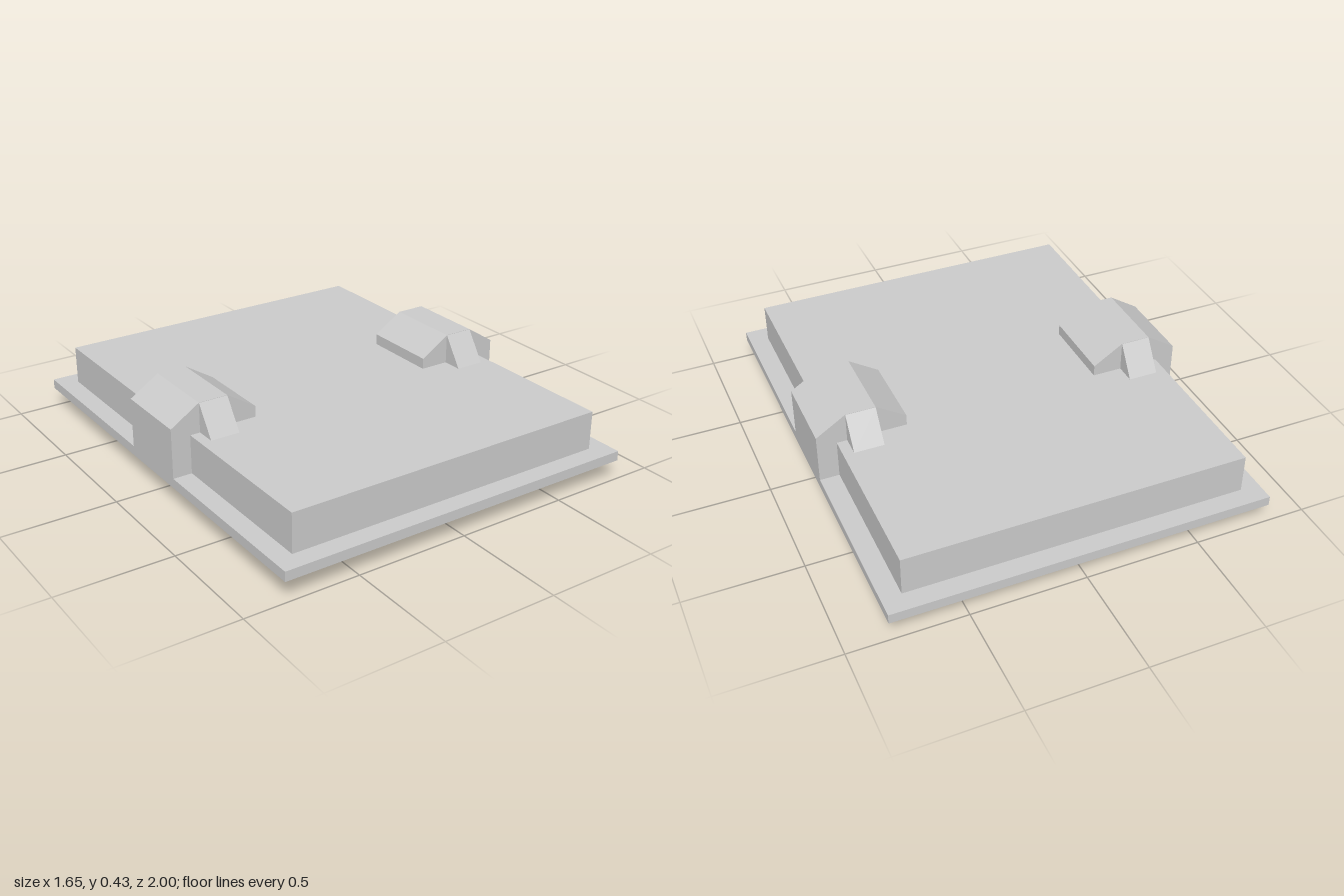
import * as THREE from 'three';

const material = new THREE.MeshStandardMaterial({ color: 0xcccccc, flatShading: true });

function named(geometry, name) {
  const mesh = new THREE.Mesh(geometry, material);
  mesh.name = name;
  return mesh;
}

// Flat-sided skin through rectangular rings [half width, half depth, height].
function ringSkin(rings) {
  const signs = [[-1, 1], [1, 1], [1, -1], [-1, -1]];
  const corner = ([w, d, y], k) => [w * signs[k % 4][0], y, d * signs[k % 4][1]];
  const positions = [];
  for (let i = 0; i < rings.length - 1; i++) {
    for (let k = 0; k < 4; k++) {
      const a = corner(rings[i], k), b = corner(rings[i], k + 1);
      const c = corner(rings[i + 1], k + 1), d = corner(rings[i + 1], k);
      if (rings[i][0] > 0) positions.push(...a, ...b, ...c);
      if (rings[i + 1][0] > 0) positions.push(...a, ...c, ...d);
    }
  }
  const geometry = new THREE.BufferGeometry();
  geometry.setAttribute('position', new THREE.Float32BufferAttribute(positions, 3));
  geometry.computeVertexNormals();
  return geometry;
}

// Prism of an outline, centred along its depth.
function prism(points, depth) {
  const shape = new THREE.Shape(points.map(([x, y]) => new THREE.Vector2(x, y)));
  return new THREE.ExtrudeGeometry(shape, { depth, bevelEnabled: false }).translate(0, 0, -depth / 2);
}

export function createModel() {
  const model = new THREE.Group();
  model.name = 'clippedPanel';

  // Flanged base: recessed underside, flat rim, sloped skirt and raised slab
  model.add(named(ringSkin([
    [0, 0, 0.131], [0.6, 0.78, 0.131], [0.6, 0.78, 0.043], [0.65, 0.83, 0.043],
    [0.825, 1, 0.088], [0.825, 1, 0.131], [0.74, 0.915, 0.131],
    [0.74, 0.915, 0.302], [0, 0, 0.302],
  ]), 'panel'));

  // C-shaped clip wrapping over and under the panel edge
  const clipOutline = [
    [0.435, 0.302], [0.74, 0.302], [0.74, 0.131], [0.21, 0.131], [0.21, 0.088],
    [0.35, 0], [0.695, 0], [0.825, 0.088], [0.825, 0.35], [0.695, 0.433],
    [0.565, 0.433], [0.435, 0.35],
  ];
  // Sloped rib running through the clip, showing as a wedge on either side
  const ribOutline = [[-0.263, 0.302], [0.263, 0.302], [0.175, 0.432], [-0.175, 0.432]];

  for (const side of ['left', 'right']) {
    const clip = new THREE.Group();
    clip.name = side + 'Clip';
    const rib = named(prism(ribOutline, 0.13), 'wedgeRib');
    rib.rotation.y = Math.PI / 2;
    rib.position.x = 0.63;
    clip.add(named(prism(clipOutline, 0.348), 'clipBody'), rib);
    if (side === 'right') clip.rotation.y = Math.PI;
    model.add(clip);
  }
  return model;
}
